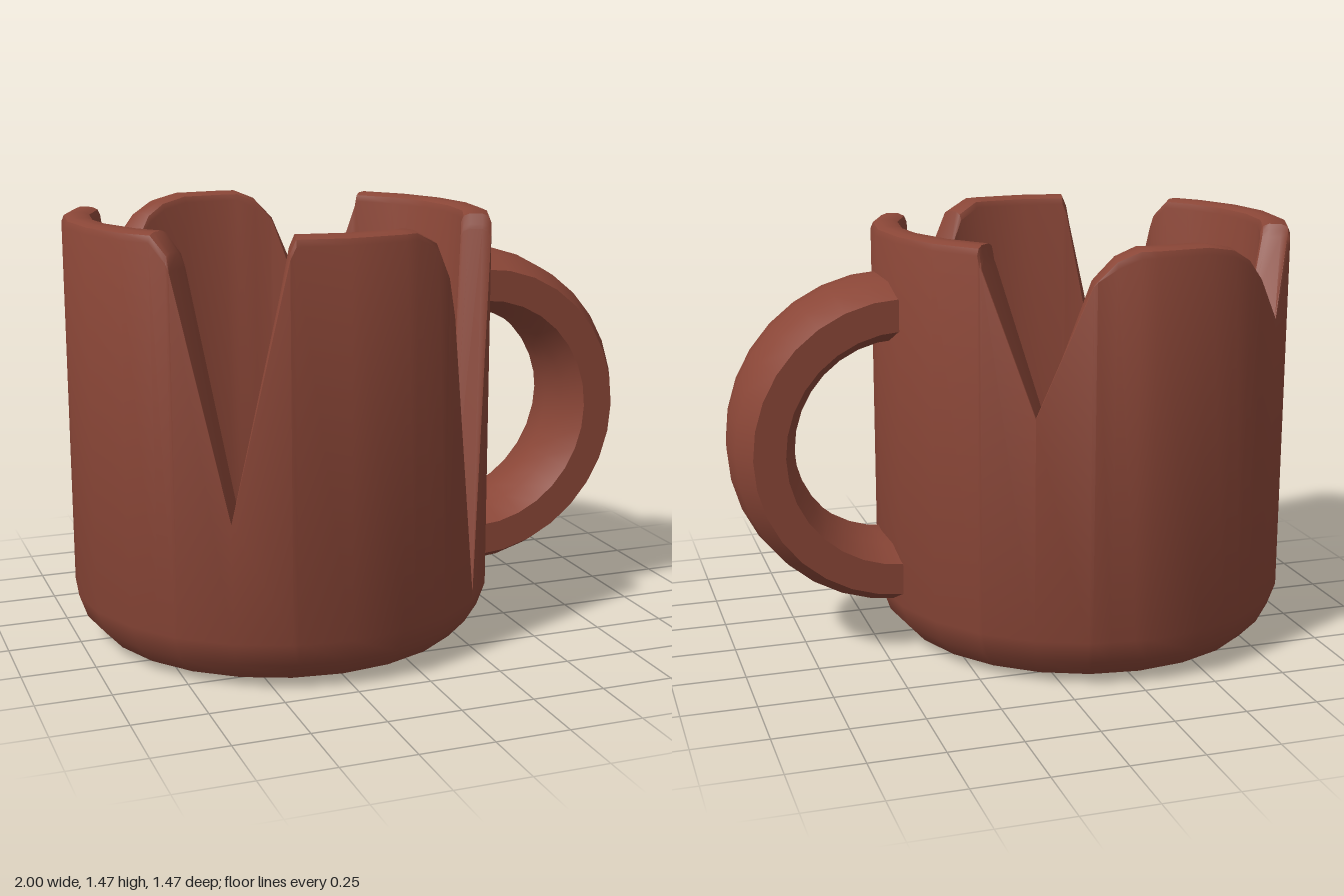
import * as THREE from 'three';
import { toCreasedNormals } from 'three/addons/utils/BufferGeometryUtils.js';

const CENTER_X = -0.267;
const SIDES = 24;
const FLOOR = 0.19;

// Rim height as [degrees from front towards +x, y]; four broken notches
const RIM = [
  [0, 1.47], [19, 1.47], [26, 1.43], [30, 1.31], [33, 1.18], [45, 0.2], [59.6, 1.42], [61, 1.47],
  [134.4, 1.47], [135.5, 1.4], [150, 0.93], [164, 1.36], [170, 1.44], [176, 1.47],
  [195, 1.47], [204, 1.45], [210, 1.41], [216, 1.33], [225, 1.18], [239, 1.43], [241, 1.47],
  [309, 1.47], [314, 1.41], [330, 0.57], [345, 1.43], [346.5, 1.47], [360, 1.47],
];

function rimHeight(deg) {
  const k = Math.max(1, RIM.findIndex(([a]) => a >= deg));
  const [a0, h0] = RIM[k - 1], [a1, h1] = RIM[k];
  return h0 + (h1 - h0) * (deg - a0) / (a1 - a0);
}

// Keeps points between corners on the straight sides of the polygon
function sideScale(deg) {
  const step = 360 / SIDES;
  const off = (deg % step) - step / 2;
  return Math.cos(THREE.MathUtils.degToRad(step / 2)) / Math.cos(THREE.MathUtils.degToRad(off));
}

// Wall section from the underside, over the rim, to the middle of the floor
function wallProfile(h) {
  const b = h > 1.4 ? 0.03 : 0.004;
  return [
    [0, 0], [0.565, 0], [0.645, 0.025], [0.705, 0.09], [0.733, 0.17],
    [0.733, h - b], [0.733 - b * 0.3, h - b * 0.3], [0.733 - b, h],
    [0.63 + b, h], [0.63 + b * 0.3, h - b * 0.3], [0.63, h - b],
    [0.63, FLOOR], [0, FLOOR],
  ];
}

function brokenCup() {
  const angles = new Set(RIM.map(([a]) => a));
  for (let i = 0; i <= SIDES; i++) angles.add(i * 360 / SIDES);
  const rings = [...angles].sort((a, b) => a - b);

  const positions = [], index = [];
  let n = 0;
  rings.forEach((deg, i) => {
    const t = THREE.MathUtils.degToRad(deg), s = sideScale(deg);
    const profile = wallProfile(rimHeight(deg));
    n = profile.length;
    for (const [r, y] of profile) positions.push(r * s * Math.sin(t), y, r * s * Math.cos(t));
    if (i === rings.length - 1) return;
    for (let j = 0; j < n - 1; j++) {
      const a = i * n + j, b = a + n;
      if (j > 0) index.push(a, b, a + 1);
      if (j < n - 2) index.push(b, b + 1, a + 1);
      else index.push();
    }
  });
  const geometry = new THREE.BufferGeometry();
  geometry.setAttribute('position', new THREE.Float32BufferAttribute(positions, 3));
  geometry.setIndex(index);
  return toCreasedNormals(geometry, 0.65);
}

// Half ring with a wide, softly domed section
function handleGeometry() {
  const section = [
    [0.41, -0.2], [0.52, -0.2], [0.567, -0.11], [0.58, 0], [0.567, 0.11], [0.52, 0.2],
    [0.41, 0.2], [0.365, 0.11], [0.352, 0], [0.365, -0.11], [0.41, -0.2],
  ].map(([r, y]) => new THREE.Vector2(r, y));
  const geometry = new THREE.LatheGeometry(section, 16, 0, Math.PI);
  geometry.rotateX(Math.PI / 2);
  return toCreasedNormals(geometry, 0.6);
}

export function createModel() {
  const group = new THREE.Group();
  group.name = 'brokenMug';
  const clay = new THREE.MeshStandardMaterial({ color: 0x8a4637 });
  clay.name = 'redBrownClay';

  const cup = new THREE.Mesh(brokenCup(), clay);
  cup.name = 'brokenCup';
  cup.position.x = CENTER_X;

  const handle = new THREE.Mesh(handleGeometry(), clay);
  handle.name = 'handle';
  handle.position.set(0.42, 0.737, 0);

  group.add(cup, handle);
  return group;
}
